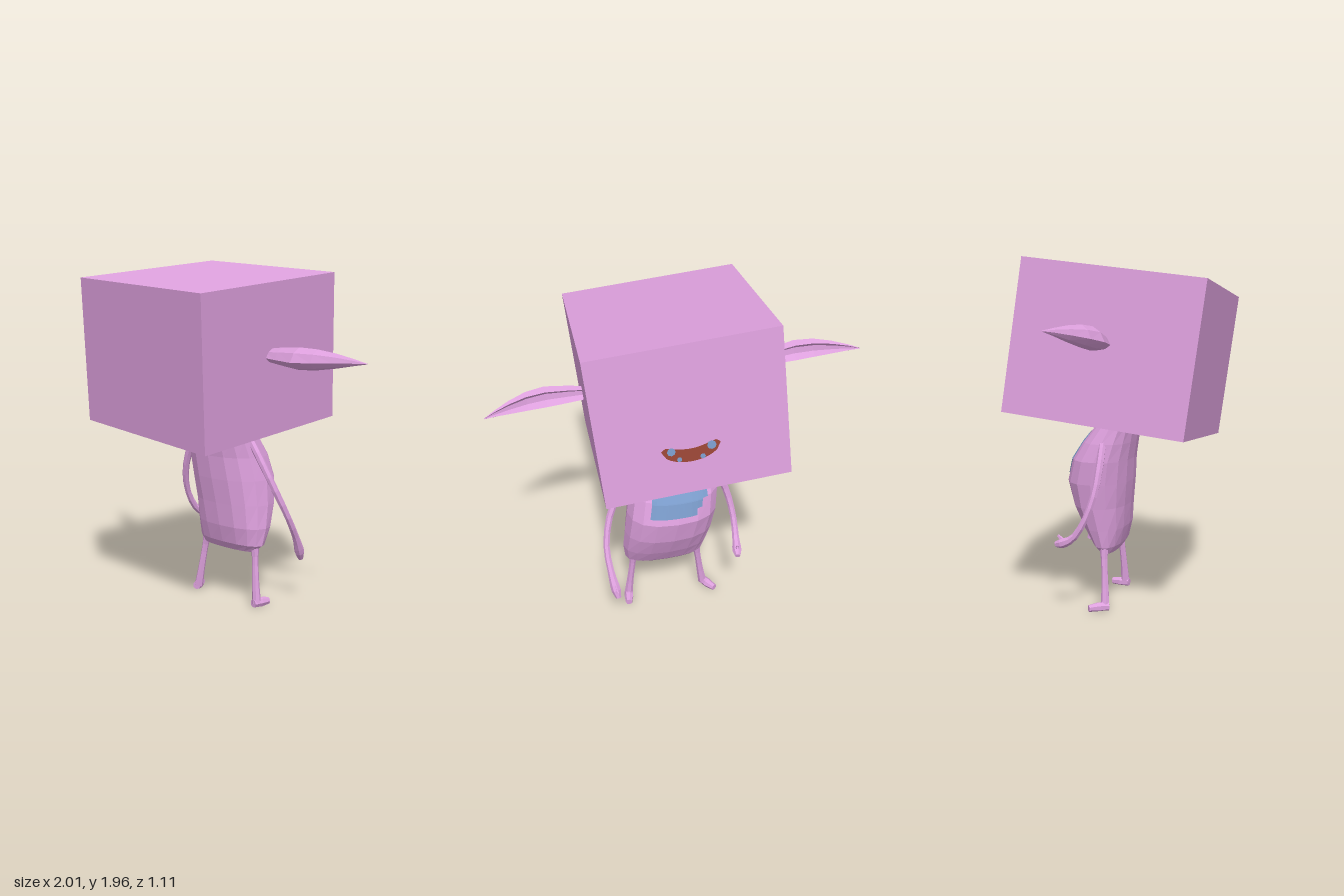
import * as THREE from 'three';

const V = (x, y, z) => new THREE.Vector3(x, y, z);
const material = (name, color) => {
  const m = new THREE.MeshStandardMaterial({ color, flatShading: true, side: THREE.DoubleSide });
  m.name = name;
  return m;
};

// Skins rings of points; closed solids get end caps and outward faces.
function loft(rings, solid = true) {
  const pos = [];
  const tri = (a, b, c) => pos.push(...a.toArray(), ...b.toArray(), ...c.toArray());
  const n = rings[0].length;
  for (let i = 0; i < rings.length - 1; i++) {
    for (let j = 0; j < (solid ? n : n - 1); j++) {
      const k = (j + 1) % n, p = rings[i], q = rings[i + 1];
      tri(p[j], q[j], p[k]);
      tri(p[k], q[j], q[k]);
    }
  }
  if (solid) {
    [rings[0], rings[rings.length - 1]].forEach((r, end) => {
      const c = V(0, 0, 0);
      r.forEach((p) => c.addScaledVector(p, 1 / n));
      r.forEach((p, j) => (end ? tri(c, r[(j + 1) % n], p) : tri(c, p, r[(j + 1) % n])));
    });
    let volume = 0;
    const at = (i) => V(pos[i], pos[i + 1], pos[i + 2]);
    for (let i = 0; i < pos.length; i += 9) volume += at(i).dot(at(i + 3).cross(at(i + 6)));
    if (volume < 0) {
      for (let i = 0; i < pos.length; i += 9) {
        for (let k = 0; k < 3; k++) [pos[i + 3 + k], pos[i + 6 + k]] = [pos[i + 6 + k], pos[i + 3 + k]];
      }
    }
  }
  const g = new THREE.BufferGeometry();
  g.setAttribute('position', new THREE.Float32BufferAttribute(pos, 3));
  g.computeVertexNormals();
  return g;
}

// Tapered tube through points [x, y, z, radius], kept above the ground.
function limb(points, segments = 10, sides = 7) {
  const curve = new THREE.CatmullRomCurve3(points.map((p) => V(p[0], p[1], p[2])));
  const rings = [];
  for (let i = 0; i <= segments; i++) {
    const t = i / segments, f = t * (points.length - 1);
    const k = Math.min(Math.floor(f), points.length - 2);
    const r = THREE.MathUtils.lerp(points[k][3], points[k + 1][3], f - k);
    const dir = curve.getTangent(t);
    const a = V(1, 0, 0).addScaledVector(dir, -dir.x).normalize();
    const b = dir.clone().cross(a);
    const c = curve.getPoint(t);
    rings.push(Array.from({ length: sides }, (_, j) => {
      const th = (j / sides) * Math.PI * 2;
      const p = c.clone().addScaledVector(a, r * Math.cos(th)).addScaledVector(b, r * Math.sin(th));
      p.y = Math.max(0, p.y);
      return p;
    }));
  }
  return loft(rings);
}

// Torso sections: height, x range, z range
const TORSO = [
  [0.31, -0.13, 0.25, -0.15, -0.055], [0.35, -0.16, 0.3, -0.19, -0.03],
  [0.45, -0.178, 0.313, -0.25, -0.005], [0.58, -0.2, 0.305, -0.31, 0.008],
  [0.72, -0.222, 0.29, -0.34, 0.025], [0.85, -0.235, 0.265, -0.305, 0.035],
  [0.95, -0.225, 0.245, -0.24, 0.05], [1.06, -0.2, 0.215, -0.15, 0.065],
];

function torsoPoint(theta, y, grow = 0) {
  let i = 0;
  while (i < TORSO.length - 2 && y > TORSO[i + 1][0]) i++;
  const t = (y - TORSO[i][0]) / (TORSO[i + 1][0] - TORSO[i][0]);
  const [x0, x1, z0, z1] = [1, 2, 3, 4].map((k) => THREE.MathUtils.lerp(TORSO[i][k], TORSO[i + 1][k], t));
  const round = (v) => Math.sign(v) * Math.abs(v) ** 0.85;
  return V((x0 + x1) / 2 + ((x1 - x0) / 2 + grow) * round(Math.cos(theta)), y,
    (z0 + z1) / 2 + ((z1 - z0) / 2 + grow) * round(Math.sin(theta)));
}

export function createModel() {
  const model = new THREE.Group();
  model.name = 'boxHeadedCreature';
  const pink = material('plumSkin', 0xdda0dd);
  const blue = material('bluePatch', 0x7b9ccb);
  const brown = material('mouthBrown', 0x9a4636);
  const add = (parent, name, geometry, mat) => {
    const m = new THREE.Mesh(geometry, mat);
    m.name = name;
    parent.add(m);
    return m;
  };

  // Torso
  const SIDES = 16;
  add(model, 'torso', loft(TORSO.map((s) =>
    Array.from({ length: SIDES }, (_, j) => torsoPoint((j / SIDES) * Math.PI * 2, s[0])))), pink);

  // Stepped chest patch, hugging the torso; angles in degrees around it
  [[234, 297, 0.85, 1.0], [243, 304, 0.8, 0.93], [250, 304, 0.76, 0.82]].forEach(([a0, a1, y0, y1]) => {
    const rings = [];
    for (let i = 0; i <= 6; i++) {
      rings.push(Array.from({ length: 9 }, (_, j) => torsoPoint(
        THREE.MathUtils.degToRad(a0 + ((a1 - a0) * j) / 8), y0 + ((y1 - y0) * i) / 6, 0.004)));
    }
    add(model, 'chestPatch', loft(rings, false), blue);
  });

  // Arms, with a small thumb on each hand
  add(model, 'leftArm', limb([
    [0.2, 0.98, -0.09, 0.02], [0.29, 0.86, -0.09, 0.022], [0.375, 0.7, -0.115, 0.02],
    [0.42, 0.52, -0.19, 0.018], [0.412, 0.38, -0.275, 0.02], [0.398, 0.3, -0.32, 0.03],
    [0.388, 0.25, -0.345, 0.016]], 14), pink);
  add(model, 'leftThumb', limb([
    [0.4, 0.33, -0.32, 0.012], [0.392, 0.29, -0.352, 0.007]], 2, 5), pink);
  add(model, 'rightArm', limb([
    [-0.19, 0.98, -0.09, 0.02], [-0.26, 0.85, -0.09, 0.022], [-0.315, 0.7, -0.105, 0.02],
    [-0.342, 0.56, -0.15, 0.018], [-0.342, 0.45, -0.22, 0.02], [-0.332, 0.415, -0.285, 0.029],
    [-0.325, 0.405, -0.325, 0.016]], 14), pink);
  add(model, 'rightThumb', limb([
    [-0.335, 0.43, -0.28, 0.013], [-0.325, 0.455, -0.312, 0.008]], 2, 5), pink);

  // Legs and feet
  add(model, 'leftLeg', limb([
    [0.25, 0.36, -0.105, 0.028], [0.258, 0.27, -0.1, 0.018], [0.272, 0.14, -0.09, 0.02],
    [0.285, 0.02, -0.085, 0.026]], 7), pink);
  add(model, 'leftFoot', limb([
    [0.28, 0.022, -0.062, 0.024], [0.288, 0.022, -0.115, 0.028], [0.298, 0.02, -0.168, 0.02]], 4), pink);
  add(model, 'rightLeg', limb([
    [-0.125, 0.36, -0.105, 0.028], [-0.142, 0.27, -0.1, 0.018], [-0.162, 0.14, -0.09, 0.02],
    [-0.183, 0.02, -0.085, 0.026]], 7), pink);
  add(model, 'rightFoot', limb([
    [-0.18, 0.022, -0.065, 0.024], [-0.205, 0.022, -0.115, 0.028], [-0.238, 0.02, -0.165, 0.019]], 4), pink);

  // Tilted box head
  const head = new THREE.Group();
  head.name = 'head';
  const ex = V(0.97, -0.09, 0.03).normalize();
  const ez = ex.clone().cross(V(0.07, 0.805, 0.1)).normalize();
  head.quaternion.setFromRotationMatrix(new THREE.Matrix4().makeBasis(ex, ez.clone().cross(ex), ez));
  head.position.set(-0.0125, 1.4525, 0);
  model.add(head);
  add(head, 'headBox', new THREE.BoxGeometry(0.975, 0.814, 0.988), pink);

  // Leaf-shaped ears with a hollow back: x, y range, z range
  const EAR = [
    [0.46, -0.012, 0.058, -0.03, 0.045], [0.56, -0.018, 0.078, -0.03, 0.062],
    [0.68, -0.022, 0.096, -0.032, 0.078], [0.78, -0.012, 0.095, -0.048, 0.04],
    [0.87, 0.004, 0.08, -0.073, -0.018], [0.95, 0.022, 0.058, -0.099, -0.075],
    [1.008, 0.034, 0.038, -0.122, -0.118],
  ];
  for (const side of [1, -1]) {
    const rings = EAR.map(([x, y0, y1, z0, z1]) => {
      const at = (u, v) => V(side * x, y0 + (y1 - y0) * u, z0 + (z1 - z0) * v);
      return [at(0.35, 0.3), at(0.12, 0), at(0, 0.35), at(0.12, 0.7), at(0.42, 1),
        at(0.8, 0.75), at(1, 0.35), at(0.85, 0), at(0.65, 0.3)];
    });
    add(head, side > 0 ? 'leftEar' : 'rightEar', loft(rings), pink);
  }

  // Smiling mouth, a thin plate on the back-facing side of the head
  const upper = [], lower = [];
  for (let i = 0; i <= 14; i++) {
    const s = -1 + i / 7, x = 0.02 + s * 0.152;
    const mid = -0.19 + 0.045 * s * s, h = 0.036 * (1 - s ** 6) ** 0.5;
    upper.push(new THREE.Vector2(x, mid + h));
    lower.unshift(new THREE.Vector2(x, mid - h));
  }
  const mouth = new THREE.Shape([...upper, ...lower.slice(1, -1)]);
  add(head, 'mouth', new THREE.ExtrudeGeometry(mouth, { depth: 0.004, bevelEnabled: false }), brown)
    .position.z = -0.497;

  // Blue flecks on the mouth
  [[0.122, -0.152, 0.022], [-0.085, -0.153, 0.024], [0.085, -0.203, 0.013], [-0.035, -0.207, 0.014]]
    .forEach(([x, y, r]) => {
      const fleck = add(head, 'mouthFleck', new THREE.CylinderGeometry(r, r, 0.004, 8), blue);
      fleck.rotation.x = Math.PI / 2;
      fleck.position.set(x, y, -0.498);
    });
  return model;
}
